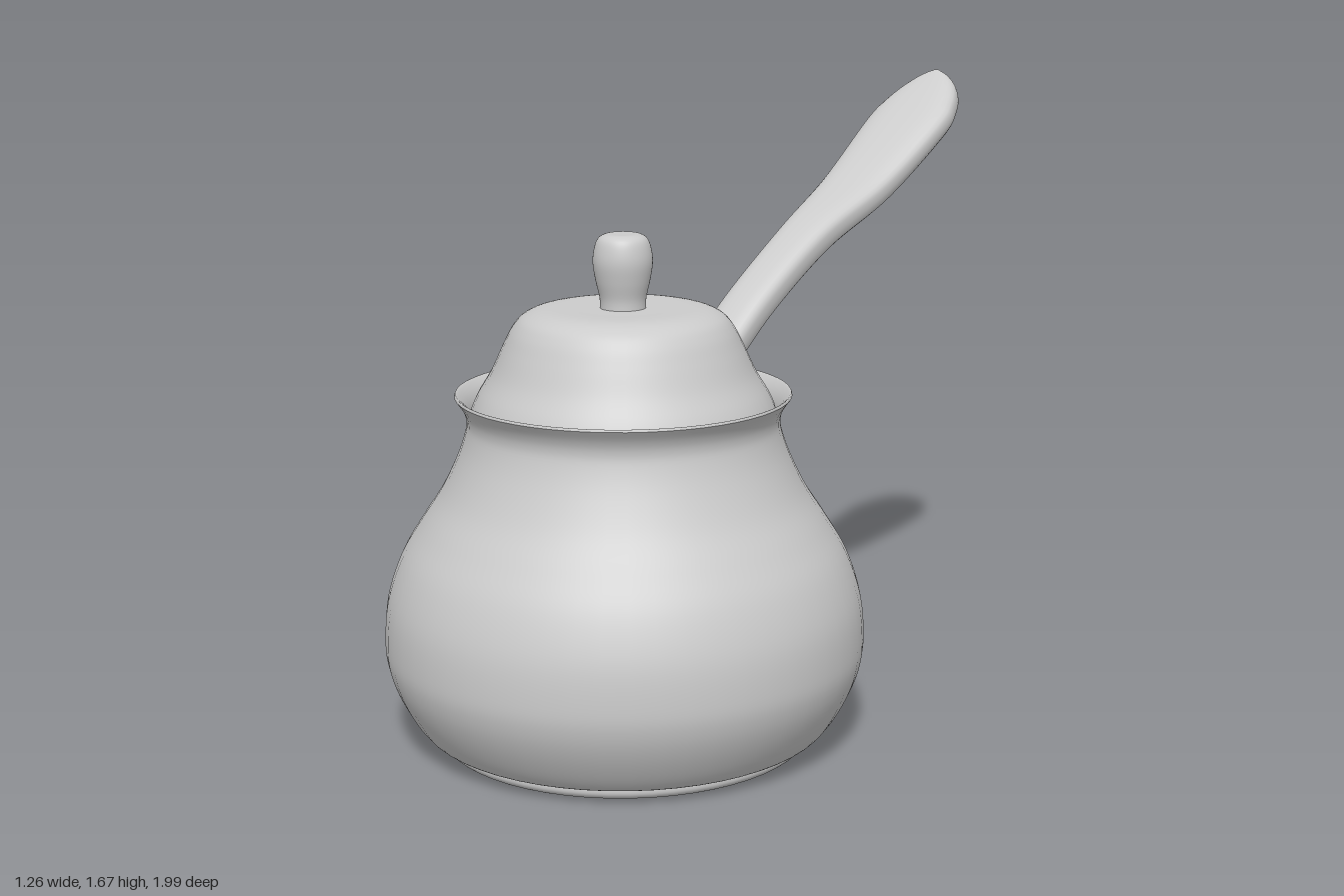
import * as THREE from 'three';

const material = new THREE.MeshStandardMaterial({ color: 0xcccccc, side: THREE.DoubleSide });
const SEGMENTS = 56;

function addMesh(parent, name, geometry) {
  const mesh = new THREE.Mesh(geometry, material);
  mesh.name = name;
  parent.add(mesh);
  return mesh;
}

// Turned part: smooth curve through [radius, height] points
function turned(points, steps) {
  const curve = new THREE.SplineCurve(points.map(([r, y]) => new THREE.Vector2(r, y)));
  const profile = curve.getPoints(steps);
  profile.forEach((p) => { p.x = Math.max(p.x, 0); });
  return new THREE.LatheGeometry(profile, SEGMENTS);
}

// Spoon handle: flattened oval sections swept between a left and a right edge curve
function handleGeometry() {
  // centre z, centre y, smallest x, largest x
  const stations = [
    [0.02, 0.965, 0.0, 0.14], [-0.14, 1.10, 0.038, 0.178], [-0.355, 1.245, 0.08, 0.235],
    [-0.58, 1.36, 0.102, 0.31], [-0.795, 1.51, 0.132, 0.377], [-0.87, 1.565, 0.16, 0.38],
    [-0.925, 1.605, 0.2, 0.362], [-0.955, 1.626, 0.238, 0.333], [-0.965, 1.633, 0.27, 0.305],
  ];
  const edge = (i) => new THREE.CatmullRomCurve3(
    stations.map((s) => new THREE.Vector3(s[i], s[1], s[0])), false, 'catmullrom');
  const left = edge(2), right = edge(3);
  const rows = 64, sides = 28, half = 0.046;
  const positions = [], index = [];
  const power = (v) => Math.sign(v) * Math.pow(Math.abs(v), 0.7);
  for (let r = 0; r <= rows; r++) {
    const a = left.getPoint(r / rows), b = right.getPoint(r / rows);
    const t = left.getTangent(r / rows).setX(0).normalize();
    const halfWidth = (b.x - a.x) / 2, mid = (a.x + b.x) / 2;
    for (let s = 0; s < sides; s++) {
      const angle = (s / sides) * Math.PI * 2;
      const up = power(Math.sin(angle)) * half;
      positions.push(mid + power(Math.cos(angle)) * halfWidth, a.y - t.z * up, a.z + t.y * up);
    }
  }
  for (let r = 0; r < rows; r++) {
    for (let s = 0; s < sides; s++) {
      const n = (s + 1) % sides;
      const a = r * sides + s, b = r * sides + n, c = a + sides, d = b + sides;
      index.push(a, b, c, b, d, c);
    }
  }
  // End caps use their own vertices, so their edges stay sharp
  for (const [row, flip] of [[0, true], [rows, false]]) {
    const start = positions.length / 3;
    positions.push(...positions.slice(row * sides * 3, (row + 1) * sides * 3));
    for (let s = 1; s < sides - 1; s++) {
      if (flip) index.push(start, start + s + 1, start + s);
      else index.push(start, start + s, start + s + 1);
    }
  }
  const geometry = new THREE.BufferGeometry();
  geometry.setAttribute('position', new THREE.Float32BufferAttribute(positions, 3));
  geometry.setIndex(index);
  geometry.computeVertexNormals();
  return geometry;
}

export function createModel() {
  const model = new THREE.Group();
  model.name = 'sugarBowl';

  const pot = new THREE.Group();
  pot.name = 'pot';
  pot.position.z = 0.37;
  model.add(pot);

  // Foot ring and the slightly recessed base inside it
  addMesh(pot, 'footRing', turned([[0.455, 0.02], [0.458, 0.006], [0.47, 0], [0.483, 0.003],
    [0.492, 0.015], [0.492, 0.03], [0.485, 0.04]], 24));
  const base = addMesh(pot, 'base', new THREE.CircleGeometry(0.457, SEGMENTS));
  base.rotation.x = Math.PI / 2;
  base.position.y = 0.015;

  // Bulging body with a narrow neck and flared rim
  addMesh(pot, 'body', turned([[0.47, 0.035], [0.52, 0.037], [0.555, 0.07], [0.596, 0.14],
    [0.622, 0.21], [0.63, 0.28], [0.62, 0.39], [0.583, 0.5], [0.53, 0.59], [0.475, 0.675],
    [0.432, 0.765], [0.41, 0.83], [0.407, 0.865], [0.417, 0.895], [0.437, 0.924]], 70));
  addMesh(pot, 'innerRim', turned([[0.437, 0.924], [0.432, 0.93], [0.41, 0.905], [0.397, 0.87],
    [0.4, 0.82], [0.422, 0.76]], 20));

  // Domed lid set inside the rim
  addMesh(pot, 'lid', turned([[0.396, 0.872], [0.392, 0.893], [0.375, 0.93], [0.342, 0.985],
    [0.312, 1.05], [0.286, 1.1], [0.255, 1.132], [0.2, 1.149], [0.1, 1.15], [0, 1.15]], 50));

  // Knob on the lid
  addMesh(pot, 'knob', turned([[0.06, 1.14], [0.06, 1.175], [0.07, 1.22], [0.077, 1.265],
    [0.074, 1.3], [0.064, 1.328], [0.045, 1.34], [0.02, 1.341], [0, 1.341]], 40));

  // Spoon handle leaning out over the back rim
  addMesh(model, 'spoonHandle', handleGeometry());
  return model;
}
